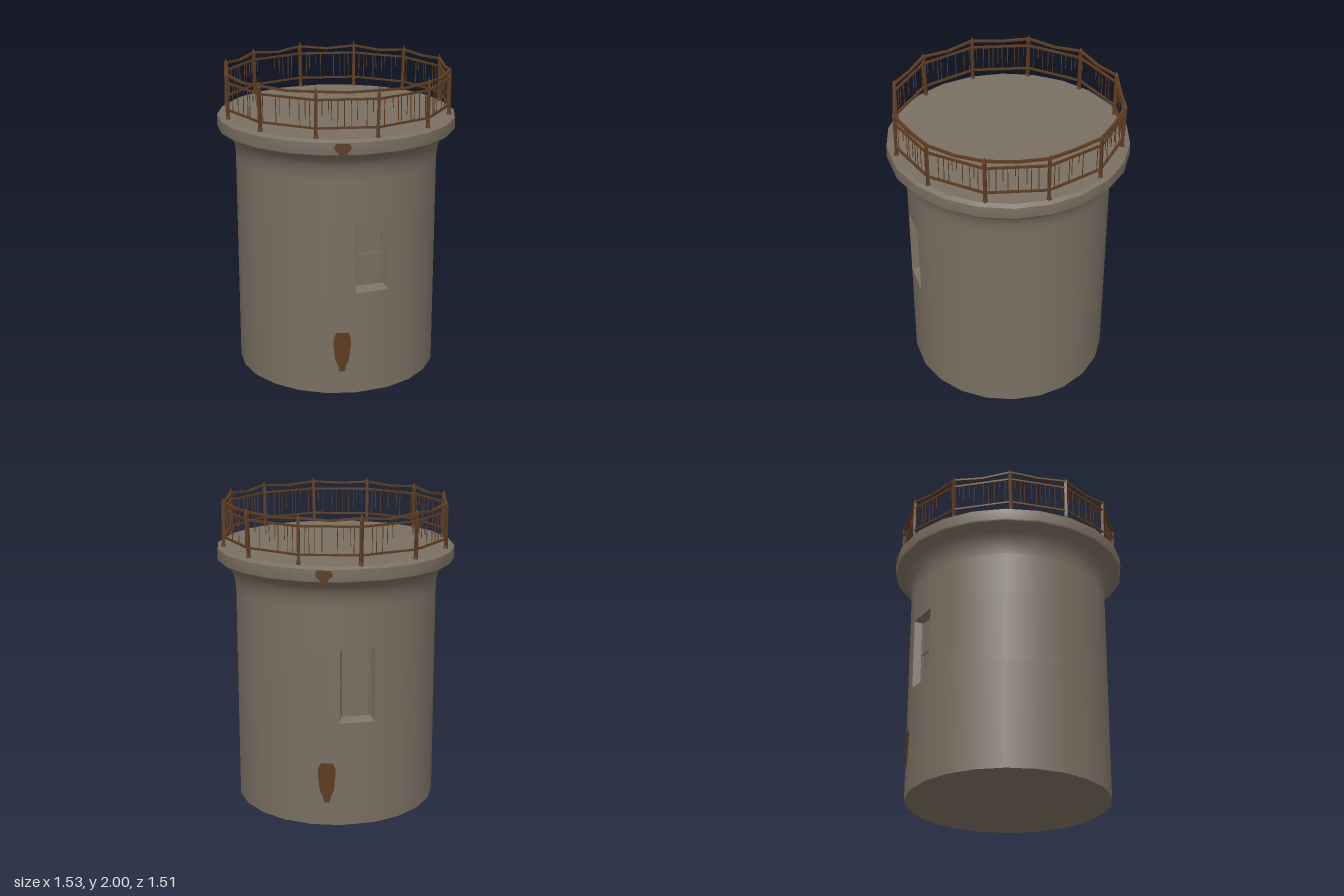
import * as THREE from 'three';

const stone = new THREE.MeshStandardMaterial({ color: 0x7a6f62 });
stone.name = 'weatheredStone';
const rust = new THREE.MeshStandardMaterial({ color: 0x5c3b20 });
rust.name = 'rust';

const R = 0.65, WIN_W = 0.11, WIN_LO = 0.68, WIN_HI = 1.15;
const WIN_ANGLE = Math.asin(WIN_W / R); // half angle of a window opening

function add(parent, name, geometry, material) {
  const mesh = new THREE.Mesh(geometry, material);
  mesh.name = name;
  parent.add(mesh);
  return mesh;
}

// Small seeded generator for the worn railing
function seeded(seed) {
  return () => (seed = (seed * 16807) % 2147483647) / 2147483647;
}

// Revolved band made of two window-wide sectors and two long side sectors
function band(parent, name, profile, withOpenings = false) {
  const points = profile.map(([r, y]) => new THREE.Vector2(r, y));
  for (const turn of [0, Math.PI]) {
    const side = new THREE.LatheGeometry(points, 10, turn + WIN_ANGLE, Math.PI - 2 * WIN_ANGLE);
    add(parent, name, side, stone);
    if (withOpenings) continue;
    add(parent, name, new THREE.LatheGeometry(points, 1, turn - WIN_ANGLE, 2 * WIN_ANGLE), stone);
  }
}

// Recessed window: tapered reveal, back panel and a slim cross bar
function makeWindow() {
  const group = new THREE.Group();
  group.name = 'window';
  const zOut = R * Math.cos(WIN_ANGLE), zIn = zOut - 0.055;
  const ring = (w, lo, hi, z) => [[-w, lo, z], [w, lo, z], [w, hi, z], [-w, hi, z]];
  const outer = ring(WIN_W, WIN_LO, WIN_HI, zOut);
  const inner = ring(0.092, 0.705, 1.138, zIn);
  const pos = [];
  const quad = (a, b, c, d) => pos.push(...a, ...b, ...c, ...a, ...c, ...d);
  for (let i = 0; i < 4; i++) {
    const j = (i + 1) % 4;
    quad(outer[i], outer[j], inner[j], inner[i]);
  }
  quad(...inner);
  const geometry = new THREE.BufferGeometry();
  geometry.setAttribute('position', new THREE.Float32BufferAttribute(pos, 3));
  geometry.computeVertexNormals();
  add(group, 'windowRecess', geometry, stone);

  add(group, 'windowCrossBar', new THREE.BoxGeometry(0.184, 0.012, 0.012), stone)
    .position.set(0, 0.91, zIn + 0.004);
  for (const s of [-1, 1]) {
    add(group, 'windowFrame', new THREE.BoxGeometry(0.012, 0.43, 0.012), stone)
      .position.set(s * 0.084, 0.922, zIn + 0.004);
  }
  return group;
}

// Rust stain following the curve of the wall; widths run from top to bottom
function stain(parent, name, radius, phi, top, bottom, widths) {
  const rows = widths.length - 1;
  const geometry = new THREE.PlaneGeometry(1, 1, 4, rows);
  const p = geometry.attributes.position;
  for (let i = 0; i < p.count; i++) {
    const row = Math.floor(i / 5);
    const a = phi + p.getX(i) * widths[row] / radius;
    const y = top + (bottom - top) * row / rows;
    p.setXYZ(i, radius * Math.sin(a), y, radius * Math.cos(a));
  }
  geometry.computeVertexNormals();
  add(parent, name, geometry, rust);
}

// Square bar between two points
function bar(parent, name, a, b, width, height) {
  const mesh = add(parent, name, new THREE.BoxGeometry(width, height, a.distanceTo(b)), rust);
  mesh.position.copy(a).lerp(b, 0.5);
  mesh.lookAt(b);
}

function makeRailing() {
  const group = new THREE.Group();
  group.name = 'railing';
  const rand = seeded(71);
  const jitter = (s) => (rand() - 0.5) * s;
  const count = 12, radius = 0.72;
  const at = (k, y) => {
    const a = k * Math.PI * 2 / count;
    return new THREE.Vector3(radius * Math.sin(a), y, radius * Math.cos(a));
  };
  for (let k = 0; k < count; k++) {
    // Post with a foot and a pointed cap
    const base = at(k, 1.685), top = at(k, 1.975);
    base.x += jitter(0.012);
    base.z += jitter(0.012);
    bar(group, 'post', base, top, 0.018, 0.018);
    add(group, 'postFoot', new THREE.CylinderGeometry(0.01, 0.018, 0.03, 5), rust)
      .position.copy(base).setY(1.70);
    add(group, 'postCap', new THREE.ConeGeometry(0.014, 0.04, 5), rust)
      .position.copy(top).setY(1.98);

    // Bent handrail, middle rail and bottom rail
    const mid = at(k, 0).lerp(at(k + 1, 0), 0.5).setY(1.956 + jitter(0.012));
    bar(group, 'handrail', at(k, 1.97), mid, 0.018, 0.012);
    bar(group, 'handrail', mid, at(k + 1, 1.97), 0.018, 0.012);
    bar(group, 'middleRail', at(k, 1.92), at(k + 1, 1.92), 0.014, 0.012);
    bar(group, 'bottomRail', at(k, 1.75), at(k + 1, 1.75), 0.014, 0.011);

    // Thin, partly broken balusters
    for (let i = 1; i < 11; i++) {
      if (rand() < 0.2) continue;
      const t = i / 11 + jitter(0.05);
      const broken = rand() < 0.35;
      const low = at(k, 0).lerp(at(k + 1, 0), t).setY(broken ? 1.79 + rand() * 0.07 : 1.75);
      const high = low.clone().setY(1.92);
      low.x += jitter(0.008);
      bar(group, 'baluster', low, high, 0.004, 0.004);
    }
  }
  return group;
}

export function createModel() {
  const model = new THREE.Group();
  model.name = 'tower';

  // Wall, opened at the window height
  band(model, 'base', [[0, 0], [R, 0]]);
  band(model, 'lowerWall', [[R, 0], [R, WIN_LO]]);
  band(model, 'middleWall', [[R, WIN_LO], [R, WIN_HI]], true);
  band(model, 'upperWall', [[R, WIN_HI], [R, 1.42]]);

  // Flared collar and platform
  band(model, 'collar', [[R, 1.42], [0.653, 1.46], [0.665, 1.51], [0.69, 1.55], [0.72, 1.575], [0.755, 1.595]]);
  band(model, 'platformEdge', [[0.755, 1.595], [0.765, 1.605], [0.762, 1.675]]);
  band(model, 'platformBevel', [[0.762, 1.675], [0.735, 1.69]]);
  band(model, 'platformFloor', [[0.735, 1.69], [0, 1.69]]);

  // Matching window and stains on front and back
  for (const turn of [0, Math.PI]) {
    const face = new THREE.Group();
    face.name = turn ? 'backFace' : 'frontFace';
    face.add(makeWindow());
    stain(face, 'wallStain', 0.653, -0.3, 0.42, 0.155, [0.075, 0.11, 0.11, 0.105, 0.095, 0.085, 0.05, 0.035]);
    stain(face, 'platformStain', 0.769, -0.305, 1.672, 1.6, [0.08, 0.1, 0.1, 0.06, 0.035]);
    face.rotation.y = turn;
    model.add(face);
  }

  model.add(makeRailing());
  return model;
}
